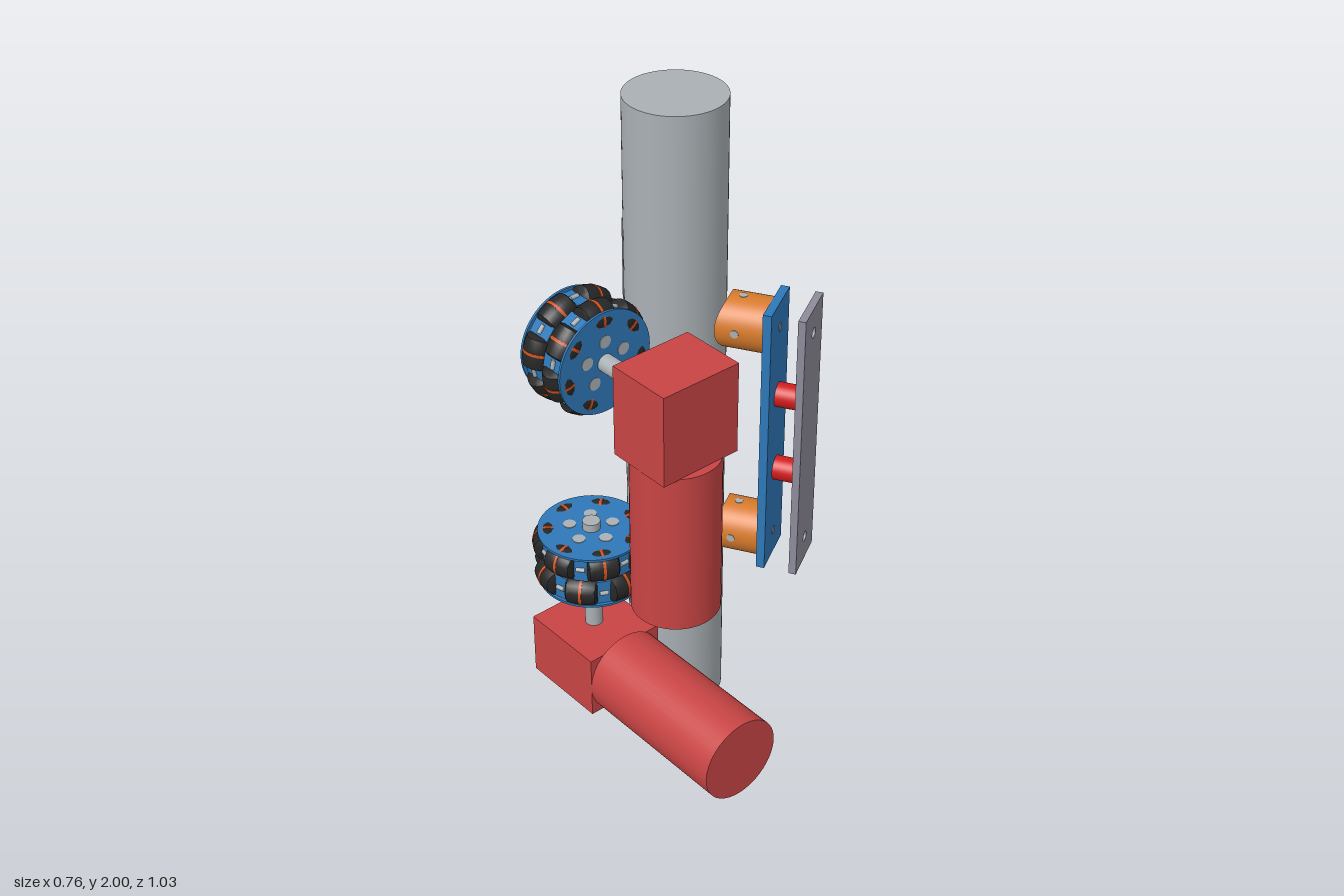
import * as THREE from 'three';
import { toCreasedNormals } from 'three/addons/utils/BufferGeometryUtils.js';

const paint = (name, color) => Object.assign(new THREE.MeshStandardMaterial({ color }), { name });

export function createModel() {
  const poleGrey = paint('pole grey', 0xa9b0b4);
  const motorRed = paint('motor red', 0xc84444);
  const blue = paint('blue', 0x2e78b8);
  const orange = paint('orange', 0xd67a2c);
  const plateGrey = paint('plate grey', 0x8d8b99);
  const spacerRed = paint('spacer red', 0xd01c1c);
  const rubber = paint('rubber black', 0x262626);
  const bandOrange = paint('band orange', 0xd0501c);

  const model = new THREE.Group();
  model.name = 'poleClimber';

  function add(parent, name, geometry, material, x = 0, y = 0, z = 0) {
    const mesh = new THREE.Mesh(geometry, material);
    mesh.name = name;
    mesh.position.set(x, y, z);
    parent.add(mesh);
    return mesh;
  }
  const box = (w, h, d) => new THREE.BoxGeometry(w, h, d);
  // Cylinder along the chosen axis
  function rod(radius, length, axis = 'y', sides = 32) {
    const g = new THREE.CylinderGeometry(radius, radius, length, sides);
    if (axis === 'x') g.rotateZ(-Math.PI / 2);
    if (axis === 'z') g.rotateX(Math.PI / 2);
    return g;
  }

  // Pole
  const px = 0.105, pz = -0.13;
  add(model, 'pole', rod(0.143, 2, 'y', 64), poleGrey, px, 1, pz);

  // Motors with gearboxes and drive shafts
  const mx = -0.2125;
  add(model, 'upperGearbox', box(0.253, 0.273, 0.2), motorRed, mx, 1.338, 0.24);
  add(model, 'upperMotor', rod(0.125, 0.5, 'y', 48), motorRed, mx, 0.953, 0.24);
  add(model, 'upperShaft', rod(0.026, 0.38, 'z'), poleGrey, mx, 1.342, -0.05);
  add(model, 'lowerGearbox', box(0.253, 0.2, 0.272), motorRed, mx, 0.302, -0.124);
  add(model, 'lowerMotor', rod(0.127, 0.503, 'z', 48), motorRed, mx, 0.303, 0.2635);
  add(model, 'lowerShaft', rod(0.026, 0.37), poleGrey, mx, 0.585, pz);

  // Barrel roller whose outline follows the wheel rim
  const axisR = 0.125, rimR = 0.17;
  const profile = [new THREE.Vector2(0, -0.046), new THREE.Vector2(0.032, -0.046)];
  for (let i = -5; i <= 5; i++) {
    const s = i * 0.0084;
    profile.push(new THREE.Vector2(Math.sqrt(rimR * rimR - s * s) - axisR, s));
  }
  profile.push(new THREE.Vector2(0.032, 0.046), new THREE.Vector2(0, 0.046));
  const rollerGeo = toCreasedNormals(new THREE.LatheGeometry(profile, 24).rotateZ(-Math.PI / 2), 0.7);
  const bandGeo = rod(0.0462, 0.008, 'x', 24);
  const blockGeo = box(0.042, 0.08, 0.06);
  const pinGeo = rod(0.007, 0.026, 'x', 10);

  // Double-row roller wheel, axle along local y
  function makeWheel(name) {
    const wheel = new THREE.Group();
    wheel.name = name;
    add(wheel, 'wheelCore', rod(0.095, 0.165, 'y', 40), blue);
    for (const side of [-1, 1]) {
      add(wheel, 'wheelPlate', rod(0.155, 0.007, 'y', 56), blue, 0, side * 0.0815, 0);
      for (let i = 0; i < 5; i++) {
        const a = i * Math.PI * 2 / 5;
        add(wheel, 'faceBolt', rod(0.019, 0.003, 'y', 20), poleGrey,
          Math.sin(a) * 0.065, side * 0.0853, Math.cos(a) * 0.065);
      }
    }
    for (const row of [-1, 1]) {
      for (let i = 0; i < 7; i++) {
        const step = Math.PI * 2 / 7;
        const a = (i + (row > 0 ? 0.5 : 0)) * step;
        const station = new THREE.Group();
        station.name = 'rollerStation';
        station.position.y = row * 0.0425;
        station.rotation.y = a;
        add(station, 'roller', rollerGeo, rubber, 0, 0, axisR);
        add(station, 'rollerBand', bandGeo, bandOrange, 0, 0, axisR);
        wheel.add(station);
        // Fork block between neighbouring rollers
        const fork = new THREE.Group();
        fork.name = 'forkBlock';
        fork.position.y = row * 0.0425;
        fork.rotation.y = a + step / 2;
        add(fork, 'block', blockGeo, blue, 0, 0, 0.115);
        add(fork, 'pin', pinGeo, poleGrey, 0, 0, 0.146);
        wheel.add(fork);
      }
    }
    model.add(wheel);
    return wheel;
  }
  const upperWheel = makeWheel('upperWheel');
  upperWheel.position.set(mx, 1.342, -0.133);
  upperWheel.rotation.x = -Math.PI / 2;
  makeWheel('lowerWheel').position.set(mx, 0.66, pz);

  // Orange foot: cylinder along x with an end hollowed to fit round the pole
  const v2 = (x, y) => new THREE.Vector2(x, y);
  const footGeo = new THREE.LatheGeometry([
    v2(0, 0), v2(0.02, 0), v2(0.04, 0), v2(0.06, 0), v2(0.08, 0),
    v2(0.08, 0.28), v2(0, 0.28)], 48).rotateZ(-Math.PI / 2);
  const p = footGeo.attributes.position;
  for (let i = 0; i < p.count; i++) {
    if (p.getX(i) < 0.1) p.setX(i, Math.sqrt(0.16 * 0.16 - p.getZ(i) ** 2));
  }
  const saddleFoot = toCreasedNormals(footGeo, 0.6);

  // Outer plate with two bolt holes
  const midY = 1.0025, height = 0.855, footYs = [0.655, 1.35];
  const outline = new THREE.Shape([
    v2(-0.084, -height / 2), v2(0.084, -height / 2), v2(0.084, height / 2), v2(-0.084, height / 2)]);
  for (const y of footYs) {
    outline.holes.push(new THREE.Path().absarc(0, y - midY, 0.016, 0, Math.PI * 2, true));
  }
  const outerPlateGeo = new THREE.ExtrudeGeometry(outline,
    { depth: 0.022, bevelEnabled: false, curveSegments: 16 }).rotateY(Math.PI / 2);

  // Clamp assembly, local x pointing away from the pole
  for (const side of [1, -1]) {
    const clamp = new THREE.Group();
    clamp.name = side > 0 ? 'frontClamp' : 'backClamp';
    clamp.position.set(px, 0, pz);
    clamp.rotation.y = -side * Math.PI / 3;
    add(clamp, 'outerPlate', outerPlateGeo, plateGrey, 0.377, midY, 0);
    add(clamp, 'innerPlate', box(0.025, height, 0.17), blue, 0.2905, midY, 0);
    for (const y of footYs) {
      add(clamp, 'foot', saddleFoot, orange, 0, y, 0);
      add(clamp, 'verticalPin', rod(0.012, 0.162, 'y', 16), poleGrey, 0.197, y, 0);
      add(clamp, 'crossPin', rod(0.012, 0.162, 'z', 16), poleGrey, 0.197, y, 0);
      add(clamp, 'plateScrew', rod(0.013, 0.004, 'x', 16), plateGrey, 0.303, y, 0);
    }
    for (const y of [0.88, 1.13]) add(clamp, 'spacer', rod(0.036, 0.08, 'x'), spacerRed, 0.34, y, 0);
    model.add(clamp);
  }
  return model;
}
